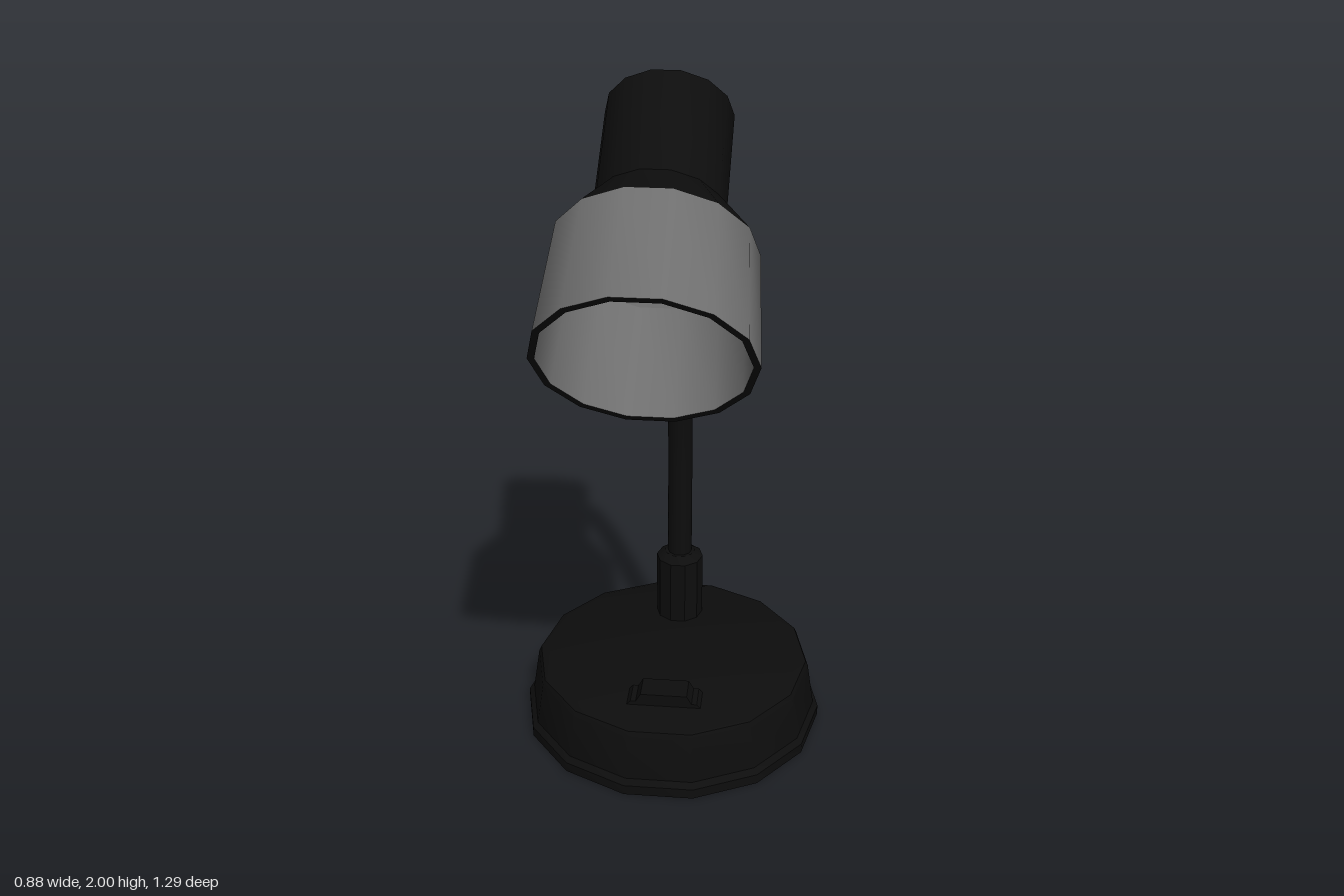
import * as THREE from 'three';
import { toCreasedNormals } from 'three/addons/utils/BufferGeometryUtils.js';

const black = new THREE.MeshStandardMaterial({ color: 0x0d0d0d });
black.name = 'black';
const grey = new THREE.MeshStandardMaterial({ color: 0x6e6e6e });
grey.name = 'grey';

function part(name, geometry, material, parent) {
  const mesh = new THREE.Mesh(geometry, material);
  mesh.name = name;
  parent.add(mesh);
  return mesh;
}

// Turned shape from [radius, height] pairs, with a corner on the x axis
function turned(profile, sides = 14) {
  const points = profile.map(([r, y]) => new THREE.Vector2(r, y));
  return toCreasedNormals(new THREE.LatheGeometry(points, sides, Math.PI / 2), 0.5);
}

export function createModel() {
  const lamp = new THREE.Group();
  lamp.name = 'deskLamp';

  // Weighted base with a foot lip and rounded top edge
  part('base', turned([
    [0, 0], [0.44, 0], [0.44, 0.03], [0.425, 0.045], [0.405, 0.175],
    [0.398, 0.19], [0.375, 0.2], [0, 0.2],
  ]), black, lamp).position.z = -0.215;

  // Rocker switch, long across x with sloping ends
  const rocker = new THREE.Shape([
    [-0.11, 0.195], [0.11, 0.195], [0.095, 0.212], [0.08, 0.212], [0.066, 0.237],
    [-0.066, 0.237], [-0.08, 0.212], [-0.095, 0.212],
  ].map(([x, y]) => new THREE.Vector2(x, y)));
  part('switch', new THREE.ExtrudeGeometry(rocker, { depth: 0.078, bevelEnabled: false }),
    black, lamp).position.z = -0.016;

  // Socket holding the neck
  part('neckSocket', turned([
    [0.07, 0.195], [0.07, 0.4], [0.045, 0.418], [0, 0.418],
  ], 10), black, lamp).position.z = -0.442;

  // Curved neck
  const path = new THREE.CatmullRomCurve3([
    [0.4, -0.442], [0.6, -0.442], [0.8, -0.441], [1.0, -0.428], [1.2, -0.388],
    [1.35, -0.335], [1.48, -0.25], [1.6, -0.14], [1.7, -0.04],
  ].map(([y, z]) => new THREE.Vector3(0, y, z)));
  part('neck', new THREE.TubeGeometry(path, 22, 0.036, 10), black, lamp);

  // Ferrule joining the neck to the head
  const ferrule = part('neckFerrule', toCreasedNormals(
    new THREE.CylinderGeometry(0.048, 0.046, 0.17, 10), 0.5), black, lamp);
  ferrule.position.set(0, 1.63, -0.1);
  ferrule.rotation.x = 0.76;

  // Tilted head: local y runs from the opening up to the cap
  const head = new THREE.Group();
  head.name = 'head';
  head.position.set(0, 1.475, 0.502);
  head.rotation.x = -0.986;
  lamp.add(head);

  part('shadeBand', turned([[0.265, 0], [0.247, 0.305]]), grey, head);
  part('shadeRim', turned([[0.248, 0], [0.265, 0]]), black, head);
  part('shadeInside', turned([
    [0.15, 0.42], [0.232, 0.3], [0.248, 0],
  ]), grey, head);
  part('shadeCeiling', turned([[0, 0.42], [0.15, 0.42]]), grey, head);
  part('shadeShoulder', turned([[0.247, 0.305], [0.16, 0.424]]), black, head);
  part('lampCap', turned([
    [0.16, 0.424], [0.16, 0.722], [0.122, 0.755], [0, 0.755],
  ]), black, head);

  // Bulb inside the shade
  part('bulb', new THREE.SphereGeometry(0.11, 14, 10), grey, head).position.y = 0.31;

  return lamp;
}
